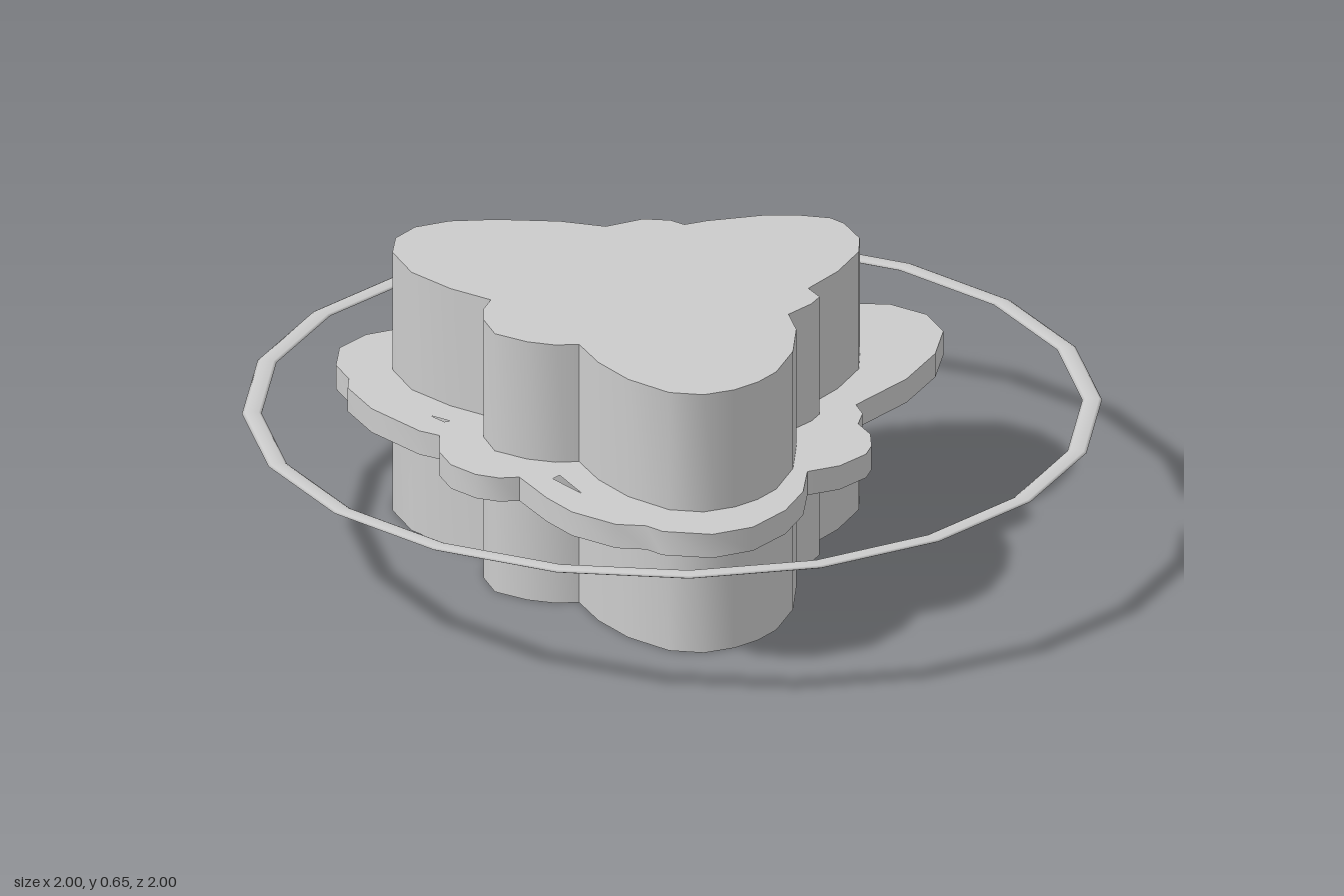
import * as THREE from 'three';
import { toCreasedNormals } from 'three/addons/utils/BufferGeometryUtils.js';

const material = new THREE.MeshStandardMaterial({ color: 0xcccccc });
const HEIGHT = 0.654;
const MID = HEIGHT / 2;

// Outlines run in plan as [x, z], clockwise from the back tip.
const bodyOutline = [
  [0, -0.51], [0.09, -0.485], [0.15, -0.435], [0.21, -0.325], [0.245, -0.21],
  [0.3, -0.2], [0.32, -0.16], [0.335, -0.08], [0.415, -0.04], [0.51, 0.045],
  [0.58, 0.15], [0.6, 0.22], [0.602, 0.29], [0.58, 0.365], [0.52, 0.42],
  [0.4, 0.447], [0.28, 0.44], [0.17, 0.41], [0.14, 0.455], [0.085, 0.495],
  [0, 0.525], [-0.08, 0.495], [-0.13, 0.455], [-0.16, 0.41], [-0.27, 0.443],
  [-0.4, 0.455], [-0.52, 0.417], [-0.58, 0.36], [-0.602, 0.285], [-0.58, 0.2],
  [-0.52, 0.11], [-0.42, 0], [-0.33, -0.065], [-0.31, -0.16], [-0.265, -0.205],
  [-0.225, -0.215], [-0.21, -0.27], [-0.155, -0.39], [-0.1, -0.46], [-0.045, -0.505],
];

const flangeOutline = [
  [0, -0.755], [0.1, -0.725], [0.19, -0.63], [0.265, -0.485], [0.31, -0.3],
  [0.36, -0.28], [0.4, -0.235], [0.465, -0.22], [0.52, -0.18], [0.55, -0.14],
  [0.565, -0.05], [0.545, 0.03], [0.63, 0.11], [0.69, 0.21], [0.72, 0.33],
  [0.695, 0.43], [0.61, 0.51], [0.56, 0.52], [0.51, 0.57], [0.39, 0.605],
  [0.29, 0.6], [0.155, 0.575], [0.13, 0.615], [0.08, 0.645], [0, 0.655],
  [-0.075, 0.63], [-0.1, 0.61], [-0.15, 0.57], [-0.2, 0.59], [-0.37, 0.597],
  [-0.5, 0.565], [-0.54, 0.53], [-0.62, 0.505], [-0.695, 0.435], [-0.717, 0.34],
  [-0.685, 0.21], [-0.62, 0.11], [-0.545, 0.025], [-0.557, -0.04], [-0.53, -0.15],
  [-0.46, -0.215], [-0.4, -0.23], [-0.35, -0.285], [-0.31, -0.295], [-0.26, -0.485],
  [-0.19, -0.625], [-0.1, -0.725],
];

// Small slits left open near the front of the flange.
const flangeSlits = [
  [[-0.255, 0.515], [-0.2, 0.498], [-0.205, 0.512]],
  [[0.205, 0.495], [0.32, 0.52], [0.21, 0.52]],
];

const toPoints = (outline) => outline.map(([x, z]) => new THREE.Vector2(x, -z));

// Upright slab from a plan outline, with smooth lobes and sharp notches.
function slab(name, outline, bottom, height, holes = []) {
  const shape = new THREE.Shape(toPoints(outline));
  holes.forEach((hole) => shape.holes.push(new THREE.Path(toPoints(hole))));
  const geometry = new THREE.ExtrudeGeometry(shape, { depth: height, bevelEnabled: false });
  geometry.rotateX(-Math.PI / 2);
  geometry.translate(0, bottom, 0);
  const mesh = new THREE.Mesh(toCreasedNormals(geometry, 0.75), material);
  mesh.name = name;
  return mesh;
}

export function createModel() {
  const group = new THREE.Group();
  group.name = 'lobedBlockWithRing';

  // Tall three-lobed body and the wider flange around its middle
  group.add(slab('body', bodyOutline, 0, HEIGHT));
  group.add(slab('flange', flangeOutline, MID - 0.03, 0.06, flangeSlits));

  // Thin flattened twenty-sided ring around everything
  const ringGeometry = new THREE.TorusGeometry(0.977, 0.023, 8, 20);
  ringGeometry.rotateX(-Math.PI / 2);
  ringGeometry.scale(1, 0.22, 1);
  const ring = new THREE.Mesh(ringGeometry, material);
  ring.name = 'outerRing';
  ring.position.y = MID;
  group.add(ring);

  return group;
}
